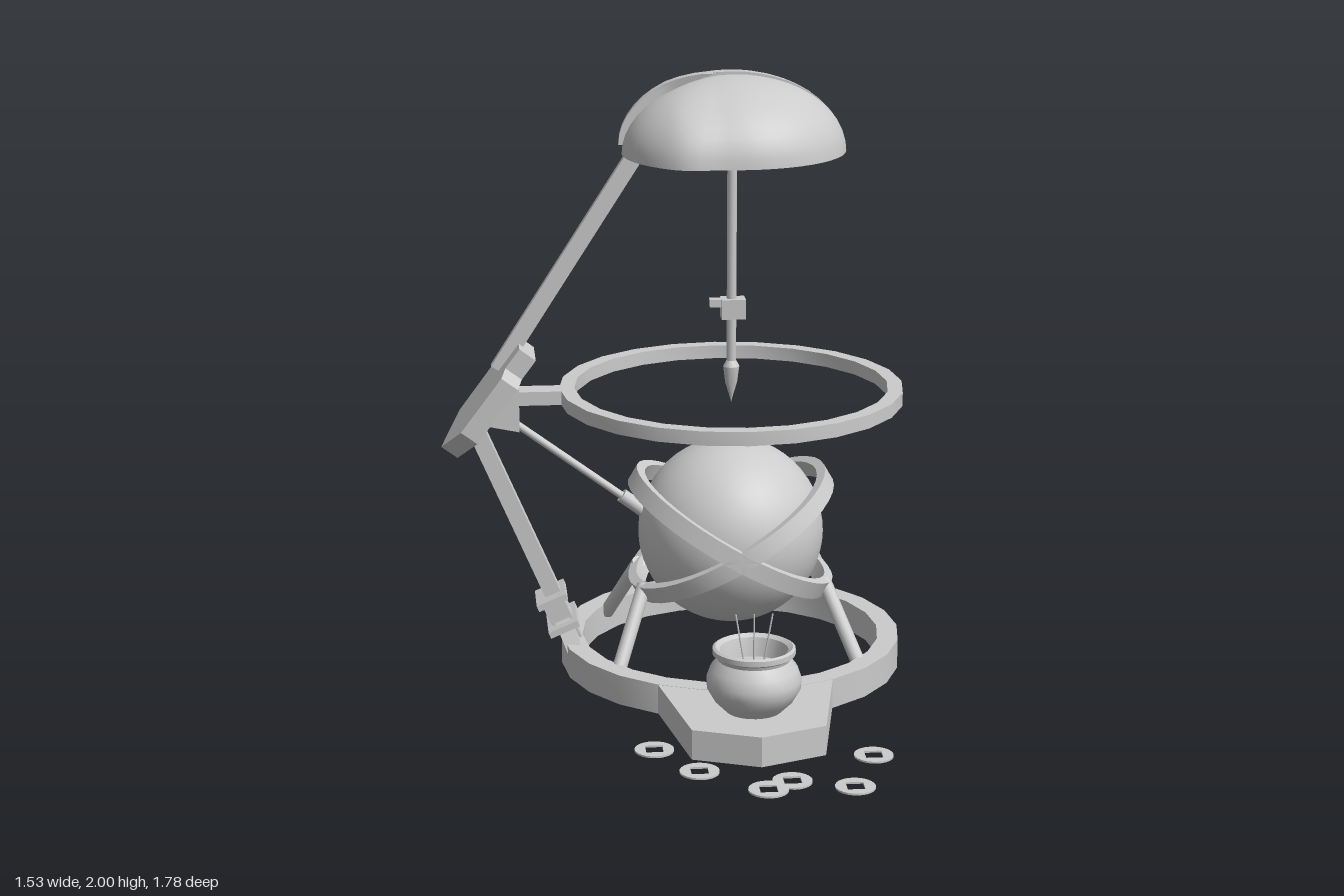
import * as THREE from 'three';
import { toCreasedNormals } from 'three/addons/utils/BufferGeometryUtils.js';

const CX = 0.19, CZ = -0.32; // shared vertical axis of the rings, globe and dome
const mat = new THREE.MeshStandardMaterial({ color: 0xcccccc, side: THREE.DoubleSide });

export function createModel() {
  const model = new THREE.Group();

  const add = (name, geo, x = 0, y = 0, z = 0, parent = model) => {
    const m = new THREE.Mesh(geo, mat);
    m.name = name;
    m.position.set(x, y, z);
    parent.add(m);
    return m;
  };
  const box = (w, h, d) => new THREE.BoxGeometry(w, h, d);
  const lathe = (pts, seg) => toCreasedNormals(
    new THREE.LatheGeometry(pts.map(p => new THREE.Vector2(...p)), seg), 0.6);
  const band = (ri, ro, h, seg) => lathe(
    [[ri, -h / 2], [ro, -h / 2], [ro, h / 2], [ri, h / 2], [ri, -h / 2]], seg);
  const extrude = (pts, depth, hole) => {
    const shape = new THREE.Shape(pts.map(p => new THREE.Vector2(...p)));
    if (hole) shape.holes.push(new THREE.Path(hole.map(p => new THREE.Vector2(...p))));
    return new THREE.ExtrudeGeometry(shape, { depth, bevelEnabled: false });
  };
  // Round rod between two points
  const rod = (name, a, b, r, seg = 12) => {
    const A = new THREE.Vector3(...a), B = new THREE.Vector3(...b);
    const dir = B.clone().sub(A);
    const m = add(name, new THREE.CylinderGeometry(r, r, dir.length(), seg));
    m.position.copy(A).add(B).multiplyScalar(0.5);
    m.quaternion.setFromUnitVectors(new THREE.Vector3(0, 1, 0), dir.normalize());
    return m;
  };
  // Square beam in the plane of the arm
  const beam = (name, x1, y1, x2, y2, w, d) => {
    const m = add(name, box(Math.hypot(x2 - x1, y2 - y1), w, d), (x1 + x2) / 2, (y1 + y2) / 2, CZ);
    m.rotation.z = Math.atan2(y2 - y1, x2 - x1);
    return m;
  };

  // Base ring, front platform and upper ring
  add('baseRing', band(0.5, 0.57, 0.1, 24), CX, 0.05, CZ);
  add('platform', extrude([[-0.1, 0.14], [0.19, 0.215], [0.48, 0.14], [0.4, 0.57], [0.19, 0.65], [-0.02, 0.57]], 0.098),
    0, 0.099, 0).rotation.x = Math.PI / 2;
  add('upperRing', band(0.52, 0.57, 0.046, 24), CX, 0.938, CZ);

  // Globe with two crossed tilted bands on four legs
  add('globe', new THREE.SphereGeometry(0.31, 40, 28), CX, 0.46, CZ);
  for (const s of [-1, 1]) {
    add('tiltedBand', band(0.348, 0.38, 0.06, 40), CX, 0.46, CZ).rotation.z = s * Math.PI / 6;
    for (const t of [-1, 1])
      rod('leg', [CX + s * 0.4, 0.07, CZ + t * 0.3], [CX + s * 0.3, 0.31, CZ + t * 0.12], 0.024);
  }

  // Split dome: two half shells, slot wider on the arm side
  const slot = x => 0.03 + 0.05 * THREE.MathUtils.clamp((-0.07 - x) / 0.13, 0, 1);
  for (const s of [-1, 1]) {
    const geo = new THREE.SphereGeometry(1, 48, 24);
    const p = geo.attributes.position;
    for (let i = 0; i < p.count; i++) {
      const x = p.getX(i) * 0.365;
      p.setXYZ(i, x, Math.max(p.getY(i), 0) * 0.245, s * (Math.max(s * p.getZ(i), 0) * 0.347 + slot(x)));
    }
    add('domeHalf', toCreasedNormals(geo, 0.6), CX, 1.755, CZ);
  }
  // Recessed core inside the slot
  const core = new THREE.SphereGeometry(1, 40, 24);
  const cp = core.attributes.position;
  for (let i = 0; i < cp.count; i++)
    cp.setXYZ(i, cp.getX(i) * 0.31, Math.max(cp.getY(i), 0) * 0.2, THREE.MathUtils.clamp(cp.getZ(i) * 0.31, -0.075, 0.075));
  add('domeCore', toCreasedNormals(core, 0.6), CX, 1.765, CZ);

  // Hanging needle with pointed tip and collar
  rod('needleShaft', [CX, 1.03, CZ], [CX, 1.8, CZ], 0.016);
  add('needleTip', lathe([[0, 0.9], [0.005, 0.92], [0.02, 0.97], [0.027, 1.025], [0.016, 1.045], [0, 1.045]], 16), CX, 0, CZ);
  add('needleCollar', box(0.08, 0.066, 0.06), 0.195, 1.222, CZ);
  add('collarKnob', box(0.05, 0.025, 0.035), 0.142, 1.241, CZ);

  // Support arm: lower beam, upper beam, joint plate
  beam('lowerArm', -0.66, 0.84, -0.335, 0.08, 0.055, 0.06);
  beam('upperArm', -0.58, 1.03, -0.1, 1.78, 0.055, 0.032);
  const outline = [[-0.218, 0], [-0.11, -0.14], [0.115, -0.145], [0.14, -0.09], [0.218, -0.09],
    [0.218, 0.09], [0.14, 0.09], [0.115, 0.145], [-0.11, 0.14]];
  const plateGeo = extrude(outline, 0.066);
  plateGeo.translate(0, 0, -0.033);
  plateGeo.rotateX(Math.PI / 2);
  add('jointPlate', plateGeo, -0.615, 0.925, CZ).rotation.z = Math.atan2(0.35, 0.26);

  // Bracket holding the upper ring
  for (const s of [-1, 1])
    add('bracketCheek', extrude([[-0.65, 0.87], [-0.515, 0.842], [-0.515, 0.988], [-0.56, 0.975]], 0.06), 0, 0, CZ + s * 0.07 - 0.03);
  add('bracketCore', extrude([[-0.64, 0.88], [-0.52, 0.86], [-0.52, 0.97], [-0.57, 0.96]], 0.1), 0, 0, CZ - 0.05);
  add('ringMount', box(0.17, 0.046, 0.08), -0.445, 0.938, CZ);

  // Pointer rod from the joint to the globe
  rod('pointerRod', [-0.56, 0.87, CZ], [-0.12, 0.545, CZ], 0.013);
  rod('pointerSleeve', [-0.175, 0.587, CZ], [-0.1, 0.53, CZ], 0.024);

  // Clamp near the foot of the arm, aligned with the lower beam
  const clamp = new THREE.Group();
  clamp.name = 'armClamp';
  clamp.position.set(-0.395, 0.197, CZ);
  clamp.rotation.z = Math.atan2(0.325, 0.76);
  model.add(clamp);
  add('clampBlock', box(0.075, 0.08, 0.1), 0, 0, 0, clamp);
  add('upperFlange', box(0.105, 0.022, 0.16), 0, 0.048, 0, clamp);
  add('lowerFlange', box(0.105, 0.022, 0.2), 0, -0.048, 0, clamp);

  // Flared foot joining the arm to the base ring
  const foot = extrude([[-0.14, -0.02], [0.14, -0.02], [0.06, 0.12], [-0.06, 0.12]], 0.05);
  foot.translate(0, 0, -0.025);
  foot.rotateY(Math.PI / 2);
  add('armFoot', foot, -0.333, 0.06, CZ).rotation.z = Math.atan2(0.325, 0.76);

  // Pot with three thin sticks
  add('pot', lathe([[0, 0.1], [0.09, 0.1], [0.125, 0.135], [0.148, 0.175], [0.15, 0.205], [0.138, 0.24],
    [0.115, 0.27], [0.118, 0.28], [0.131, 0.288], [0.131, 0.305], [0.122, 0.31], [0.108, 0.3],
    [0.1, 0.27], [0.095, 0.24], [0, 0.24]], 32), CX, 0, 0.41);
  for (const s of [-1, 0, 1])
    rod('stick', [CX + s * 0.025, 0.22, 0.41], [CX + s * 0.058, 0.415, 0.41], 0.003, 6);

  // Flat coins with square holes, scattered in front
  const disc = Array.from({ length: 24 }, (_, i) => [0.062 * Math.cos(i * Math.PI / 12), 0.062 * Math.sin(i * Math.PI / 12)]);
  const h = 0.027;
  const coin = extrude(disc, 0.006, [[-h, -h], [-h, h], [h, h], [h, -h]]);
  for (const [x, z] of [[-0.13, 0.485], [-0.005, 0.67], [0.19, 0.828], [0.27, 0.768], [0.455, 0.828], [0.547, 0.587]])
    add('coin', coin, x, 0.006, z).rotation.x = Math.PI / 2;

  return model;
}
